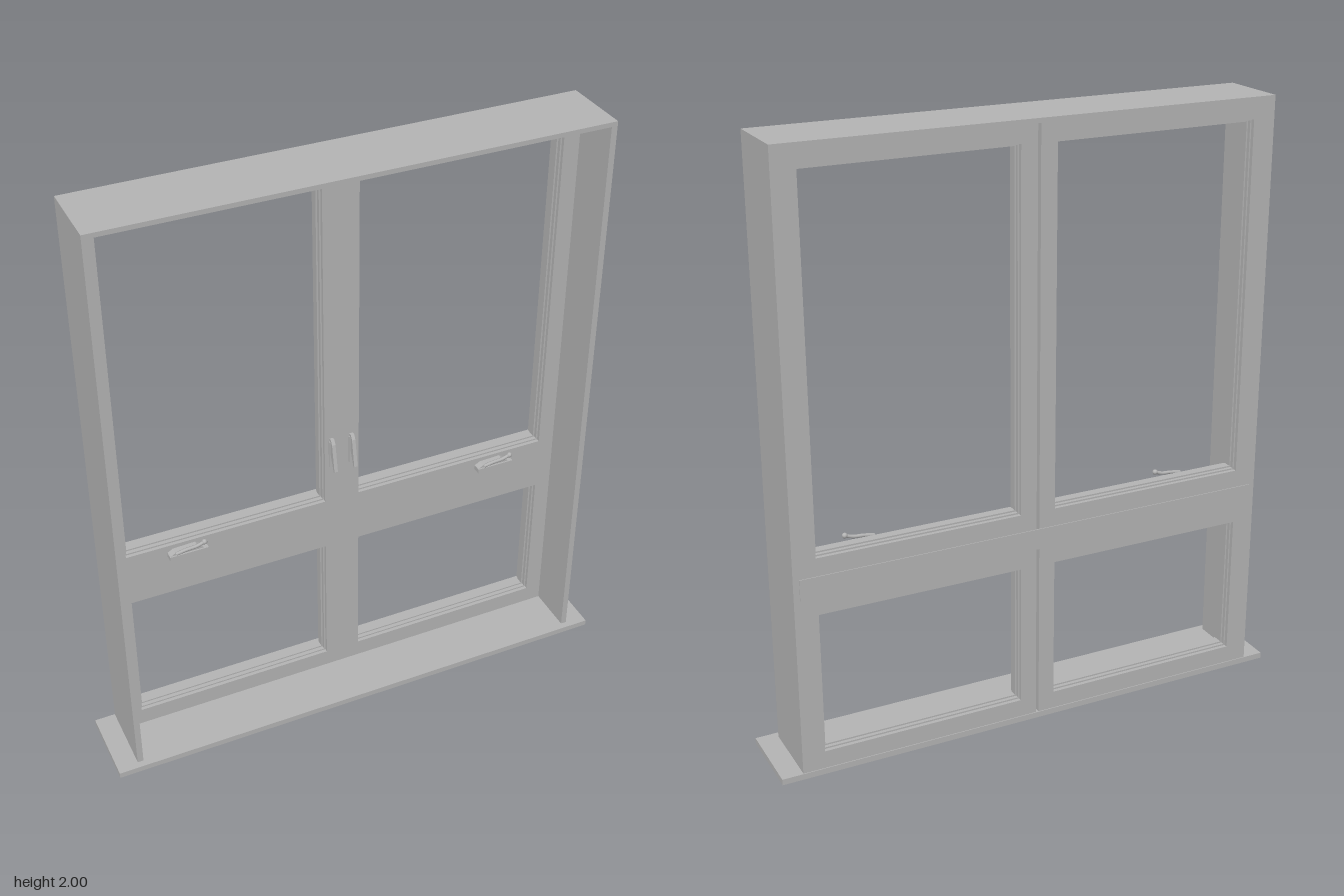
import * as THREE from 'three';

const BACK = -0.13, FACE = -0.055, MID = -0.09;

export function createModel() {
  const grey = new THREE.MeshStandardMaterial({ color: 0xb4b4b4 });
  grey.name = 'window grey';
  const model = new THREE.Group();
  model.name = 'window';

  const add = (geometry, name, parent = model) => {
    const mesh = new THREE.Mesh(geometry, grey);
    mesh.name = name;
    parent.add(mesh);
    return mesh;
  };
  const box = (name, x0, x1, y0, y1, z0, z1, parent) => {
    const mesh = add(new THREE.BoxGeometry(x1 - x0, y1 - y0, z1 - z0), name, parent);
    mesh.position.set((x0 + x1) / 2, (y0 + y1) / 2, (z0 + z1) / 2);
    return mesh;
  };
  const corners = ([x0, x1, y0, y1]) => [[x0, y0], [x1, y0], [x1, y1], [x0, y1]]
    .map(([x, y]) => new THREE.Vector2(x, y));
  // A flat panel with rectangular openings, between two depths
  const panel = (name, outer, holes, z0, z1) => {
    const shape = new THREE.Shape(corners(outer));
    for (const h of holes) shape.holes.push(new THREE.Path(corners(h).reverse()));
    const g = new THREE.ExtrudeGeometry(shape, { depth: z1 - z0, bevelEnabled: false });
    g.translate(0, 0, z0);
    add(g, name);
  };

  // Sill and deep surrounding casing
  box('sill', -0.89, 0.89, 0, 0.02, -0.133, 0.133);
  for (const s of [-1, 1]) {
    box('sideCasing', Math.min(s * 0.8, s * 0.82), Math.max(s * 0.8, s * 0.82), 0.02, 2, BACK, 0.11);
  }
  box('topCasing', -0.8, 0.8, 1.985, 2, BACK, 0.11);

  // Window frame: one inner layer, two outer halves with a joint between them
  const openingsFor = s => [[0.08, 0.56], [0.75, 1.93]].map(([y0, y1]) =>
    s > 0 ? [0.06, 0.745, y0, y1] : [-0.745, -0.06, y0, y1]);
  const openings = [...openingsFor(-1), ...openingsFor(1)];
  panel('innerFrame', [-0.8, 0.8, 0.02, 1.985], openings, MID, FACE);
  panel('outerFrameRight', [-0.8, -0.005, 0.02, 1.985], openingsFor(-1), BACK, MID);
  panel('outerFrameLeft', [0.005, 0.8, 0.02, 1.985], openingsFor(1), BACK, MID);
  box('outerRail', -0.8, 0.8, 0.62, 0.69, -0.133, BACK + 0.001);

  // Stepped glazing beads inside each opening
  const inset = ([x0, x1, y0, y1], d) => [x0 + d, x1 - d, y0 + d, y1 - d];
  for (const o of openings) {
    panel('outerBead', o, [inset(o, 0.005)], -0.117, -0.067);
    panel('innerBead', inset(o, 0.005), [inset(o, 0.01)], -0.105, -0.08);
  }

  // Pair of latches on the mullion
  for (const x of [-0.037, 0.033]) {
    const latch = new THREE.Group();
    latch.name = 'latch';
    latch.position.set(x, 0, FACE);
    box('latchPlate', -0.009, 0.009, 0.89, 0.99, 0, 0.007, latch);
    const side = new THREE.Shape([[0, 0.96], [0.032, 0.885], [0.038, 0.89], [0.02, 0.985], [0.012, 1.0], [0, 1.0]]
      .map(([z, y]) => new THREE.Vector2(-z, y)));
    const lever = add(new THREE.ExtrudeGeometry(side, { depth: 0.012, bevelEnabled: false }), 'latchLever', latch);
    lever.rotation.y = Math.PI / 2;
    lever.position.x = -0.006;
    model.add(latch);
  }

  // Folding winder cranks on the middle rail
  for (const x of [-0.545, 0.56]) {
    const crank = new THREE.Group();
    crank.name = 'crank';
    crank.position.set(x, 0, FACE);
    box('crankBase', -0.065, 0.065, 0.71, 0.726, 0, 0.03, crank);
    const cover = new THREE.Shape([[-0.06, 0.726], [0.05, 0.726], [0.03, 0.738], [-0.045, 0.735]]
      .map(([a, b]) => new THREE.Vector2(a, b)));
    add(new THREE.ExtrudeGeometry(cover, { depth: 0.025, bevelEnabled: false }), 'crankCover', crank);
    const path = new THREE.CatmullRomCurve3([[-0.045, 0.735], [-0.01, 0.741], [0.025, 0.744], [0.05, 0.752]]
      .map(([a, b]) => new THREE.Vector3(a, b, 0.03)));
    add(new THREE.TubeGeometry(path, 16, 0.006, 8), 'crankArm', crank);
    const knob = add(new THREE.SphereGeometry(0.009, 12, 8), 'crankKnob', crank);
    knob.position.set(0.052, 0.753, 0.03);
    model.add(crank);
  }
  return model;
}
